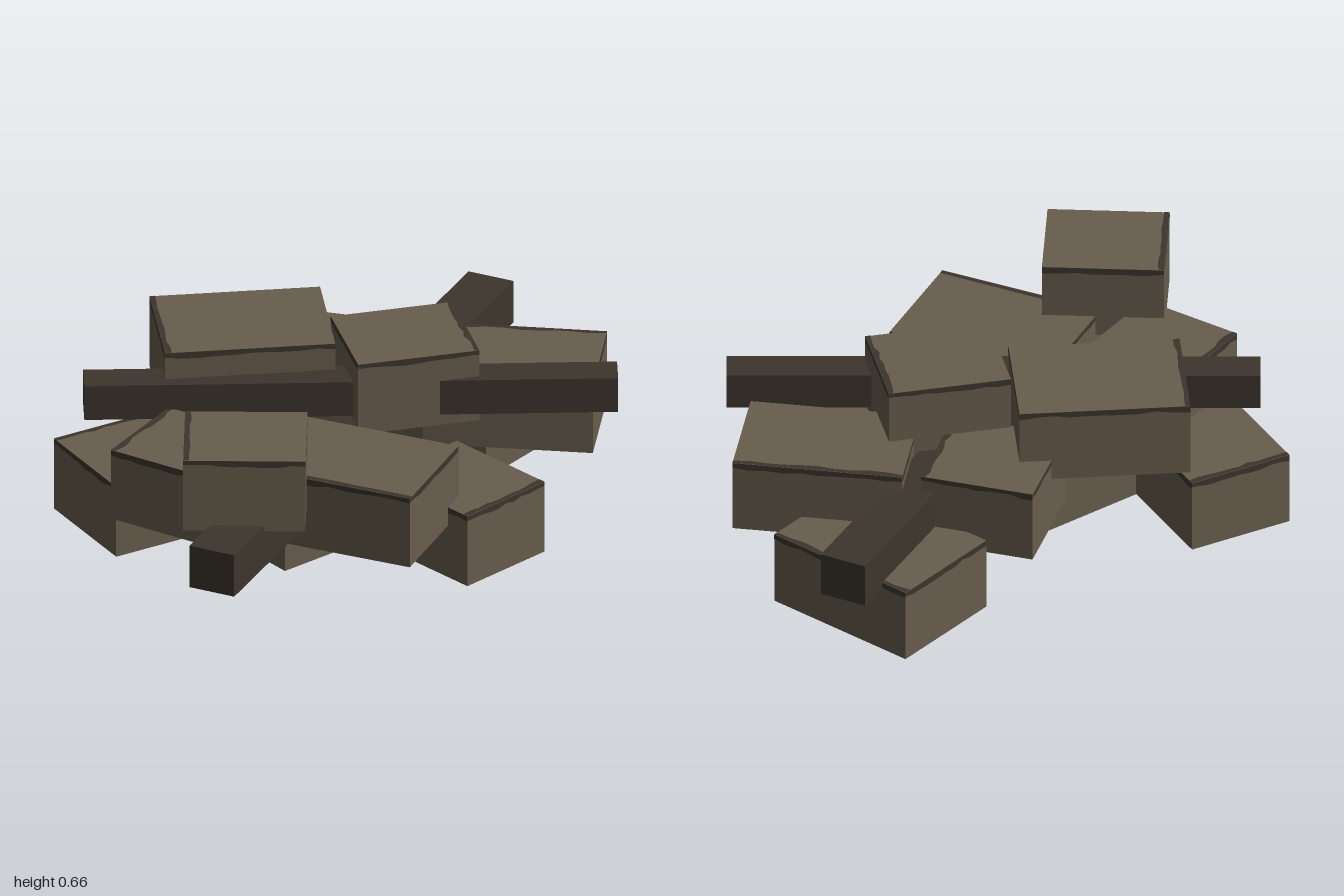
import * as THREE from 'three';

const stone = new THREE.MeshStandardMaterial({ color: 0x685d4d });
stone.name = 'weathered stone';
const dark = new THREE.MeshStandardMaterial({ color: 0x3d352d });
dark.name = 'dark timber and grime';

// Small seeded random for the ragged strips
let seed = 7;
const rand = () => (seed = (seed * 16807) % 2147483647) / 2147483647;

// Flat strip with a ragged lower edge; its straight upper edge lies on y = 0
function raggedStrip(length) {
  const s = new THREE.Shape();
  s.moveTo(length / 2, 0);
  s.lineTo(-length / 2, 0);
  const n = 10;
  for (let i = 0; i <= n; i++) s.lineTo((i / n - 0.5) * length, -0.014 - 0.012 * rand());
  s.closePath();
  return new THREE.Mesh(new THREE.ShapeGeometry(s), dark);
}

// Stone block with grime along the upper edge of its sides and one edge of its top
function block(name, x, z, w, d, turn, y0, y1) {
  const g = new THREE.Group();
  g.name = name;
  const h = y1 - y0;
  const body = new THREE.Mesh(new THREE.BoxGeometry(w, h, d), stone);
  body.name = 'stoneBody';
  g.add(body);
  for (let i = 0; i < 4; i++) {
    const side = new THREE.Group();
    const strip = raggedStrip(i % 2 ? d : w);
    strip.name = 'sideGrime';
    strip.position.set(0, h / 2, (i % 2 ? w : d) / 2 + 0.001);
    side.add(strip);
    side.rotation.y = i * Math.PI / 2;
    g.add(side);
  }
  const top = raggedStrip(w);
  top.name = 'topGrime';
  top.rotation.x = -Math.PI / 2;
  top.position.set(0, h / 2 + 0.001, -d / 2);
  g.add(top);
  g.position.set(x, (y0 + y1) / 2, z);
  g.rotation.y = turn;
  return g;
}

function beam(name, x, y, z, length, height, width, turn) {
  const m = new THREE.Mesh(new THREE.BoxGeometry(length, height, width), dark);
  m.name = name;
  m.position.set(x, y, z);
  m.rotation.y = turn;
  return m;
}

export function createModel() {
  const model = new THREE.Group();
  model.name = 'rubblePile';

  // Three overlapping layers: [x, z, width, depth, turn]
  const layers = [
    ['lowerBlock', 0, 0.27, [
      [-0.665, -0.39, 0.38, 0.42, 0],
      [0.2, 0.37, 0.37, 0.43, -2.9],
      [-0.23, -0.03, 0.41, 0.43, 1.73],
      [0.63, -0.39, 0.585, 0.435, -1.19],
    ]],
    ['middleBlock', 0.2, 0.465, [
      [-0.23, 0.365, 0.6, 0.43, 2.21],
      [0.64, -0.02, 0.59, 0.4, -0.655],
      [-0.667, -0.02, 0.375, 0.38, 0.48],
      [0.185, -0.385, 0.4, 0.4, -2.36],
    ]],
    ['upperBlock', 0.39, 0.66, [
      [-0.665, 0.37, 0.37, 0.42, 1.02],
      [0.2, -0.015, 0.375, 0.43, -1.85],
      [-0.23, -0.385, 0.43, 0.59, 1.16],
    ]],
  ];
  for (const [name, y0, y1, list] of layers)
    list.forEach(([x, z, w, d, t], i) => model.add(block(name + (i + 1), x, z, w, d, t, y0, y1)));

  // Crossed timbers wedged between the layers
  model.add(beam('longBeam', -0.017, 0.33, -0.01, 2.265, 0.16, 0.17, 0.6));
  model.add(beam('shortBeam', -0.017, 0.495, -0.015, 1.835, 0.13, 0.125, -0.5));
  return model;
}
